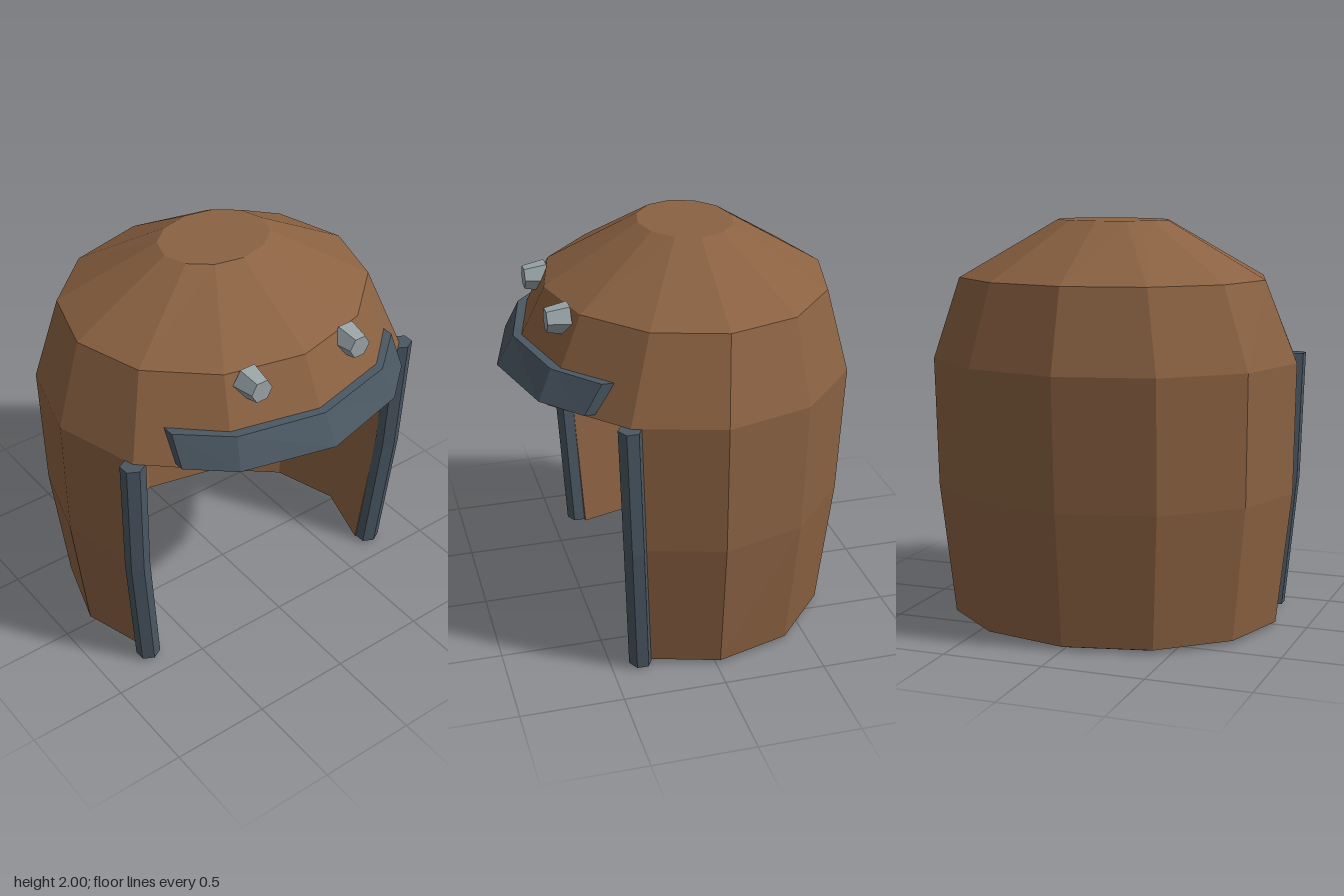
import * as THREE from 'three';

const paint = (color) => new THREE.MeshStandardMaterial({ color, flatShading: true });
const brown = paint(0x8b6242), slate = paint(0x4a5762), steel = paint(0x9aa4a8);

// Mesh from a list of polygons, each fanned into triangles
function polyMesh(name, polys, material) {
  const pos = [];
  for (const p of polys)
    for (let i = 1; i < p.length - 1; i++)
      for (const v of [p[0], p[i], p[i + 1]]) pos.push(...v);
  const g = new THREE.BufferGeometry();
  g.setAttribute('position', new THREE.Float32BufferAttribute(pos, 3));
  g.computeVertexNormals();
  const mesh = new THREE.Mesh(g, material);
  mesh.name = name;
  return mesh;
}

// Skin closed cross-sections and cap both ends
function loft(name, sections, material) {
  const n = sections[0].length;
  const polys = [[...sections[0]].reverse(), sections[sections.length - 1]];
  for (let s = 0; s < sections.length - 1; s++) {
    const a = sections[s], b = sections[s + 1];
    for (let k = 0; k < n; k++) polys.push([a[k], a[(k + 1) % n], b[(k + 1) % n], b[k]]);
  }
  return polyMesh(name, polys, material);
}

// Horizontal ellipse, angle 0 at the front, turning toward +x
function ring(y, rx, rz, x0, z0, sides) {
  return Array.from({ length: sides }, (_, j) => {
    const t = (j / sides) * Math.PI * 2;
    return [x0 + rx * Math.sin(t), y, z0 + rz * Math.cos(t)];
  });
}

// Ring profiles: height, x radius, z radius, z centre
const OUTER = [
  [0.02, 0.845, 0.74, -0.02], [0.68, 0.92, 0.815, -0.02], [1.32, 0.93, 0.85, -0.02],
  [1.72, 0.78, 0.695, -0.065], [2, 0.285, 0.233, -0.067],
];
const INNER = [
  [0, 0.785, 0.68, -0.02], [0.68, 0.86, 0.755, -0.02], [1.305, 0.87, 0.79, -0.02],
  [1.68, 0.735, 0.65, -0.065], [1.94, 0.27, 0.22, -0.067],
];

// Helmet shell: two skins, open at the face, joined along the rims
function makeShell() {
  const N = 12, face = [10, 11, 0, 1];
  const [out, inn] = [OUTER, INNER].map((rows) => rows.map(([y, rx, rz, z]) => ring(y, rx, rz, 0, z, N)));
  const polys = [out[4], [...inn[4]].reverse()];
  for (let j = 0; j < N; j++) {
    const k = (j + 1) % N, open = face.includes(j);
    const start = open ? 2 : 0;
    for (let i = start; i < 4; i++) {
      polys.push([out[i][j], out[i][k], out[i + 1][k], out[i + 1][j]]);
      polys.push([inn[i][j], inn[i + 1][j], inn[i + 1][k], inn[i][k]]);
    }
    polys.push([out[start][j], inn[start][j], inn[start][k], out[start][k]]);
  }
  // Cheek edges
  for (let i = 0; i < 2; i++) {
    polys.push([out[i][2], out[i + 1][2], inn[i + 1][2], inn[i][2]]);
    polys.push([out[i][10], inn[i][10], inn[i + 1][10], out[i + 1][10]]);
  }
  return polyMesh('helmetShell', polys, brown);
}

export function createModel() {
  const model = new THREE.Group();
  model.name = 'helmet';
  model.add(makeShell());

  for (const side of [1, -1]) {
    const label = side > 0 ? 'left' : 'right';

    // Hexagonal trim along the cheek edge
    const path = [[0.735, 0.01, 0.355], [0.795, 0.68, 0.387], [0.81, 1.32, 0.41]];
    model.add(loft(label + 'CheekTrim', path.map(([x, y, z]) => ring(y, 0.062, 0.057, side * x, z, 6)), slate));

    // Tapered hexagonal rivet on the brow
    const rivet = new THREE.Mesh(new THREE.CylinderGeometry(0.058, 0.08, 0.11, 6), steel);
    rivet.name = label + 'Rivet';
    rivet.geometry.rotateY(Math.PI / 6).rotateX(Math.PI / 2);
    rivet.position.set(side * 0.285, 1.667, 0.625);
    model.add(rivet);
  }

  // Brow band: [x, z] of inner bottom, inner top, outer top, outer bottom
  const centre = [[0, 0.825], [0, 0.745], [0, 0.79], [0, 0.875]];
  const bend = [[0.43, 0.715], [0.4, 0.64], [0.43, 0.69], [0.46, 0.757]];
  const end = [[0.66, 0.535], [0.655, 0.44], [0.655, 0.5], [0.66, 0.585]];
  const heights = [1.34, 1.485, 1.485, 1.34];
  const section = (s, c) => c.map(([x, z], i) => [s * x, heights[i], z]);
  model.add(loft('browBand', [section(-1, end), section(-1, bend), section(1, centre),
    section(1, bend), section(1, end)], slate));

  return model;
}
